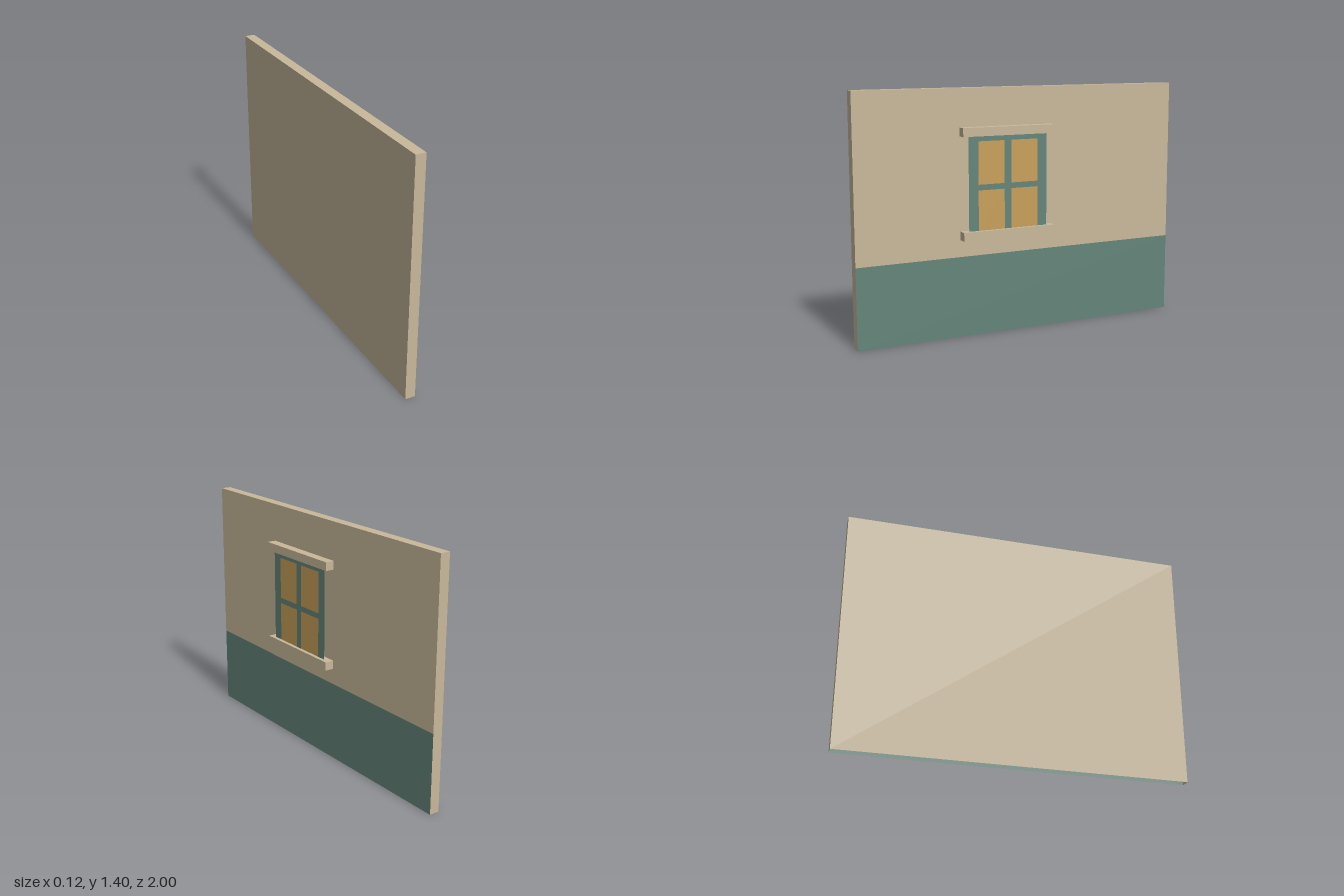
import * as THREE from 'three';

const mat = (name, color, side = THREE.DoubleSide) =>
  Object.assign(new THREE.MeshStandardMaterial({ color, side }), { name });

// Box between two corners, leaving out the listed faces (0 +x, 1 -x, 2 +y, 3 -y, 4 +z, 5 -z)
function openBox(name, material, [x0, y0, z0], [x1, y1, z1], omit) {
  const g = new THREE.BoxGeometry(x1 - x0, y1 - y0, z1 - z0);
  const index = Array.from(g.index.array);
  g.setIndex(index.filter((_, i) => !omit.includes(Math.floor(i / 6))));
  g.clearGroups();
  g.translate((x0 + x1) / 2, (y0 + y1) / 2, (z0 + z1) / 2);
  const m = new THREE.Mesh(g, material);
  m.name = name;
  return m;
}

// Flat panel facing +x
function panel(name, material, x, y0, y1, z0, z1) {
  const g = new THREE.PlaneGeometry(z1 - z0, y1 - y0).rotateY(Math.PI / 2);
  g.translate(x, (y0 + y1) / 2, (z0 + z1) / 2);
  const m = new THREE.Mesh(g, material);
  m.name = name;
  return m;
}

// Rectangle outline in (-z, y), used for the frame and its openings
function rect(path, z0, z1, y0, y1) {
  path.moveTo(-z1, y0).lineTo(-z0, y0).lineTo(-z0, y1).lineTo(-z1, y1).closePath();
  return path;
}

export function createModel() {
  const group = new THREE.Group();
  group.name = 'wallWithWindow';
  const plaster = mat('plaster', 0xc9b99b);
  const teal = mat('tealPaint', 0x64857a);
  const amber = mat('amberGlass', 0xc8a05a);

  // Wall shell, open underneath, with a two-tone face
  const face = -0.002;
  group.add(
    openBox('wallShell', plaster, [-0.061, 0, -1], [face, 1.4, 1], [0, 3]),
    panel('upperWall', plaster, face, 0.46, 1.4, -1, 1),
    panel('lowerWall', teal, face, 0, 0.46, -1, 1)
  );

  // Lintel and sill, open underneath
  for (const [name, y] of [['lintel', 1.137], ['sill', 0.559]]) {
    group.add(openBox(name, plaster, [0.009, y, -0.174], [0.061, y + 0.049, 0.394], [3]));
  }

  // Window: frame with four openings, filled by flush panes
  const windowGroup = new THREE.Group();
  windowGroup.name = 'window';
  const windowX = 0.04;
  const frameShape = rect(new THREE.Shape(), -0.132, 0.354, 0.565, 1.138);
  for (const [z0, z1] of [[0.134, 0.295], [-0.075, 0.092]]) {
    for (const [y0, y1] of [[0.595, 0.835], [0.867, 1.108]]) {
      frameShape.holes.push(rect(new THREE.Path(), z0, z1, y0, y1));
      windowGroup.add(panel('pane', amber, windowX, y0, y1, z0, z1));
    }
  }
  const frameGeometry = new THREE.ShapeGeometry(frameShape).rotateY(Math.PI / 2);
  frameGeometry.translate(windowX, 0, 0);
  const frame = new THREE.Mesh(frameGeometry, teal);
  frame.name = 'windowFrame';
  windowGroup.add(frame);
  group.add(windowGroup);

  return group;
}
